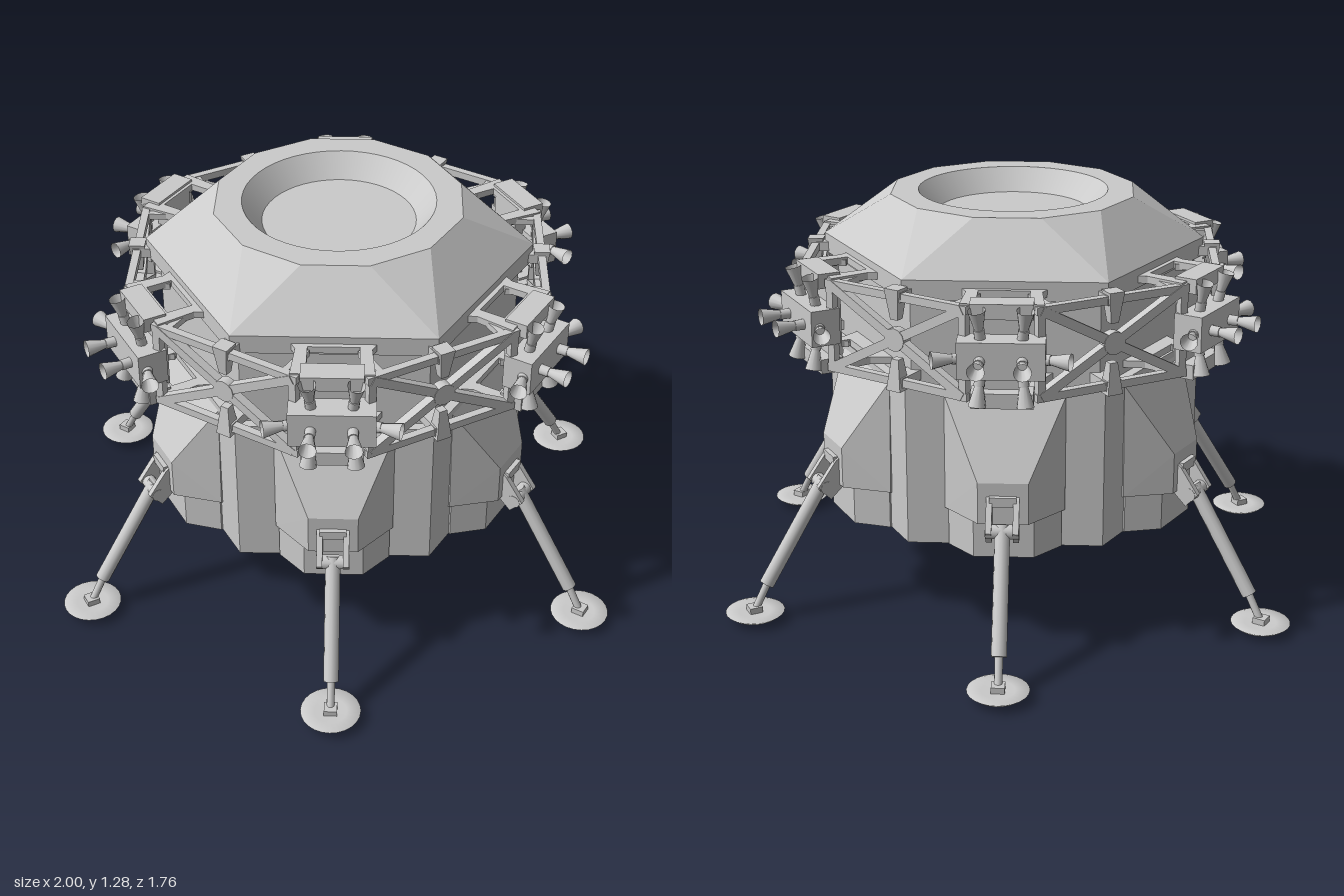
import * as THREE from 'three';
import { ConvexGeometry } from 'three/addons/geometries/ConvexGeometry.js';

const flat = new THREE.MeshStandardMaterial({ color: 0xcccccc, flatShading: true, side: THREE.DoubleSide });
const smooth = new THREE.MeshStandardMaterial({ color: 0xcccccc, side: THREE.DoubleSide });
const V = (x, y, z) => new THREE.Vector3(x, y, z);
const UP = V(0, 1, 0);

function add(parent, name, geo, mat = flat) {
  const m = new THREE.Mesh(geo, mat);
  m.name = name;
  parent.add(m);
  return m;
}

function box(parent, name, x0, x1, y0, y1, z0, z1) {
  const g = new THREE.BoxGeometry(x1 - x0, y1 - y0, z1 - z0);
  g.translate((x0 + x1) / 2, (y0 + y1) / 2, (z0 + z1) / 2);
  return add(parent, name, g);
}

// Rod or cone between two points; four sides give a square beam
function rod(parent, name, a, b, r0, r1 = r0, sides = 12, open = false) {
  const d = b.clone().sub(a);
  const g = new THREE.CylinderGeometry(r1, r0, d.length(), sides, 1, open);
  if (sides === 4) g.rotateY(Math.PI / 4);
  const m = add(parent, name, g, sides > 6 ? smooth : flat);
  m.position.copy(a).addScaledVector(d, 0.5);
  m.quaternion.setFromUnitVectors(UP, d.normalize());
  return m;
}

// Polygon in the x-z plane, with corner k at start + k * step
function ringPoints(n, r, start) {
  return Array.from({ length: n }, (_, k) => {
    const a = start + (k * 2 * Math.PI) / n;
    return new THREE.Vector2(r * Math.cos(a), r * Math.sin(a));
  });
}

// Horizontal slab with an optional hole
function slab(parent, name, outer, hole, y0, y1) {
  const s = new THREE.Shape(outer);
  if (hole) s.holes.push(new THREE.Path(hole));
  const g = new THREE.ExtrudeGeometry(s, { depth: y1 - y0, bevelEnabled: false });
  g.rotateX(-Math.PI / 2).translate(0, y0, 0);
  return add(parent, name, g);
}

// Upper hull: hexagon wall rising to a twelve-sided roof
function roofGeometry() {
  const rows = [[1.08, true], [1.13, true], [1.28, false]].map(([y, hex]) =>
    Array.from({ length: 12 }, (_, k) => {
      const deg = hex ? 30 + 60 * Math.floor(k / 2) : 15 + 30 * k;
      const a = THREE.MathUtils.degToRad(deg), r = hex ? 0.595 : 0.385;
      return V(r * Math.cos(a), y, r * Math.sin(a));
    }));
  const pts = [];
  const tri = (a, b, c) => {
    if (a.distanceTo(b) > 1e-4 && b.distanceTo(c) > 1e-4 && c.distanceTo(a) > 1e-4) pts.push(a, b, c);
  };
  for (let j = 0; j < 2; j++) for (let k = 0; k < 12; k++) {
    const n = (k + 1) % 12;
    tri(rows[j][k], rows[j + 1][k], rows[j + 1][n]);
    tri(rows[j][k], rows[j + 1][n], rows[j][n]);
  }
  const g = new THREE.BufferGeometry().setFromPoints(pts);
  g.computeVertexNormals();
  return g;
}

function buildHull(g) {
  add(g, 'roof', roofGeometry());
  const top = new THREE.Shape(ringPoints(12, 0.385, Math.PI / 12));
  top.holes.push(new THREE.Path().absarc(0, 0, 0.295, 0, Math.PI * 2, true));
  add(g, 'roofTop', new THREE.ShapeGeometry(top, 24).rotateX(-Math.PI / 2).translate(0, 1.28, 0));
  const hatch = [[0.235, 1.21], [0.295, 1.28]].map(p => new THREE.Vector2(...p));
  add(g, 'hatchWall', new THREE.LatheGeometry(hatch, 48), smooth);
  add(g, 'hatchFloor', new THREE.CircleGeometry(0.235, 48).rotateX(-Math.PI / 2).translate(0, 1.21, 0));
  const hex = r => ringPoints(6, r, Math.PI / 6);
  slab(g, 'roofUnderside', hex(0.594), null, 1.07, 1.085);
  slab(g, 'midBody', hex(0.555), null, 0.79, 1.075);
  slab(g, 'lowerBody', hex(0.589), null, 0.46, 0.8);
  slab(g, 'lowerWall', hex(0.589), hex(0.37), 0.3, 0.46);
  slab(g, 'innerStep', hex(0.37), hex(0.29), 0.36, 0.46);
}

// Engine bell and the three fins around it
function buildEngine(g) {
  const bell = [[0.04, 0.46], [0.05, 0.41], [0.1, 0.33], [0.15, 0.27]].map(p => new THREE.Vector2(...p));
  add(g, 'engineBell', new THREE.LatheGeometry(bell, 32), smooth);
  for (let i = 0; i < 3; i++) {
    const s = new THREE.Shape([[0.21, 0.24], [0.31, 0.3], [0.31, 0.4], [0.21, 0.4]].map(p => new THREE.Vector2(...p)));
    const geo = new THREE.ExtrudeGeometry(s, { depth: 0.06, bevelEnabled: false }).translate(0, 0, -0.03);
    add(g, 'engineFin', geo).rotation.y = Math.PI / 2 + (i * 2 * Math.PI) / 3;
    const bar = box(g, 'engineFrameBar', 0.2, 0.24, 0.27, 0.38, -0.12, 0.12);
    bar.rotation.y = -Math.PI / 2 + (i * 2 * Math.PI) / 3;
  }
}

// One landing leg with its fairing, built along +x
function buildLeg() {
  const g = new THREE.Group();
  g.name = 'landingLeg';
  const fairing = [], skirt = [];
  for (const s of [-1, 1]) {
    fairing.push(V(0.49, 0.78, s * 0.18), V(0.51, 0.78, s * 0.18), V(0.49, 0.42, s * 0.18), V(0.515, 0.42, s * 0.18),
      V(0.63, 0.55, s * 0.075), V(0.63, 0.42, s * 0.075));
    for (const y of [0.3, 0.425]) skirt.push(V(0.49, y, s * 0.17), V(0.515, y, s * 0.17), V(0.6, y, s * 0.09));
    const cheek = new THREE.Shape([[0.61, 0.52], [0.64, 0.5], [0.7, 0.42], [0.66, 0.375], [0.61, 0.42]].map(p => new THREE.Vector2(...p)));
    add(g, 'hingeCheek', new THREE.ExtrudeGeometry(cheek, { depth: 0.018, bevelEnabled: false }).translate(0, 0, s * 0.04 - 0.009));
  }
  add(g, 'legFairing', new ConvexGeometry(fairing));
  add(g, 'legSkirt', new ConvexGeometry(skirt));
  box(g, 'hingeTop', 0.61, 0.645, 0.48, 0.51, -0.04, 0.04);
  rod(g, 'hingePin', V(0.67, 0.415, -0.05), V(0.67, 0.415, 0.05), 0.022);
  rod(g, 'upperStrut', V(0.66, 0.43, 0), V(0.866, 0.11, 0), 0.023);
  rod(g, 'lowerStrut', V(0.86, 0.12, 0), V(0.908, 0.03, 0), 0.012);
  box(g, 'footJoint', 0.89, 0.93, 0.02, 0.045, -0.02, 0.02);
  const pad = [[0, 0], [0.045, 0.005], [0.075, 0.015], [0.092, 0.028], [0.05, 0.027], [0, 0.025]].map(p => new THREE.Vector2(...p));
  add(g, 'footPad', new THREE.LatheGeometry(pad, 24).translate(0.908, 0, 0), smooth);
  return g;
}

function horn(parent, pos, dir) {
  const at = t => pos.clone().addScaledVector(dir, t);
  dir.normalize();
  rod(parent, 'thrusterNeck', at(-0.01), at(0.03), 0.016);
  rod(parent, 'thrusterHorn', at(0.02), at(0.09), 0.011, 0.026, 12, true);
}

// Thruster block on its bracket, built along +x
function buildThrusters() {
  const g = new THREE.Group();
  g.name = 'thrusterCluster';
  const P = pts => pts.map(p => new THREE.Vector2(...p));
  const outer = P([[0.46, -0.15], [0.54, -0.11], [0.66, -0.12], [0.66, 0.12], [0.54, 0.11], [0.46, 0.15]]);
  const hole = P([[0.53, -0.075], [0.61, -0.075], [0.61, 0.075], [0.53, 0.075]]);
  for (const y of [0.82, 1.085]) {
    slab(g, 'bracketPlate', outer, hole, y, y + 0.022);
    box(g, 'bracketPad', 0.62, 0.69, y - 0.015, y + 0.03, -0.09, 0.09);
  }
  box(g, 'bracketPost', 0.61, 0.65, 0.83, 1.09, -0.06, 0.06);
  box(g, 'thrusterBlock', 0.64, 0.73, 0.905, 1.015, -0.125, 0.125);
  for (const s of [-1, 1]) {
    horn(g, V(0.73, 0.96, s * 0.06), V(1, 0, s * 0.05));
    horn(g, V(0.7, 0.96, s * 0.11), V(0.3, 0, s));
    for (const u of [-1, 1]) horn(g, V(0.69, 0.96 + u * 0.055, s * 0.06), V(0.2, u, s * 0.1));
  }
  return g;
}

// Crossed truss panel between two thruster clusters, built facing +x
function buildTruss() {
  const g = new THREE.Group();
  g.name = 'trussPanel';
  const x = 0.622;
  for (const y of [0.83, 1.09]) {
    rod(g, 'trussRail', V(x, y, -0.25), V(x, y, 0.25), 0.017, 0.017, 4);
    for (const s of [-1, 1]) {
      rod(g, 'trussDiagonal', V(x, 0.96, 0), V(x, y, s * 0.235), 0.02, 0.02, 4);
      rod(g, 'trussTie', V(x, y, s * 0.2), V(0.5, y, s * 0.2), 0.014, 0.014, 4);
    }
    const u = Math.sign(y - 0.96);
    rod(g, 'trussStub', V(x, 0.96 + u * 0.06, 0), V(x, y + u * 0.025, 0), 0.018, 0.035, 4);
    box(g, 'trussMount', 0.54, 0.635, y - 0.015, y + 0.015, -0.025, 0.025);
  }
  for (const s of [-1, 1]) rod(g, 'trussPost', V(x, 0.82, s * 0.235), V(x, 1.1, s * 0.235), 0.017, 0.017, 4);
  rod(g, 'trussHub', V(x - 0.014, 0.96, 0), V(x + 0.016, 0.96, 0), 0.035);
  return g;
}

export function createModel() {
  const model = new THREE.Group();
  model.name = 'lander';
  buildHull(model);
  buildEngine(model);
  // Six identical sectors
  for (let i = 0; i < 6; i++) {
    const a = (i * Math.PI) / 3;
    for (const [part, turn] of [[buildLeg(), 0], [buildThrusters(), 0], [buildTruss(), Math.PI / 6]]) {
      part.rotation.y = a + turn;
      model.add(part);
    }
  }
  return model;
}
